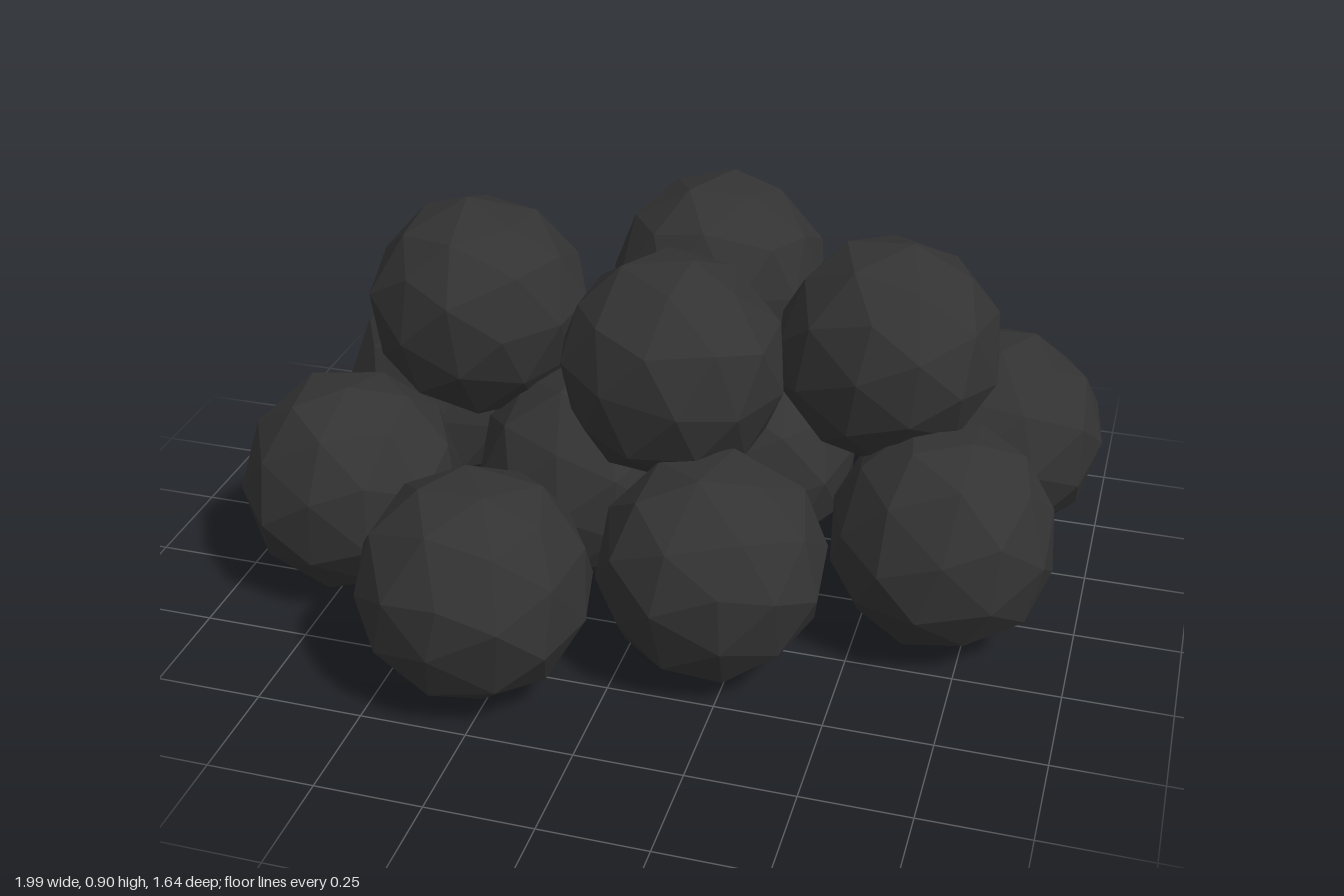
import * as THREE from 'three';
import { mergeVertices } from 'three/addons/utils/BufferGeometryUtils.js';

// Small seeded generator for the chipped, uneven surface
function seeded(seed) {
  let s = seed;
  return () => (s = (s * 16807) % 2147483647) / 2147483647;
}

// Faceted lump: a subdivided icosahedron with slightly uneven vertices
function lumpGeometry(seed) {
  const rand = seeded(seed);
  for (let i = 0; i < 5; i++) rand();
  let geo = new THREE.IcosahedronGeometry(1, 1);
  geo.deleteAttribute('normal');
  geo.deleteAttribute('uv');
  geo = mergeVertices(geo, 1e-3);
  const p = geo.attributes.position;
  const v = new THREE.Vector3();
  for (let i = 0; i < p.count; i++) {
    v.fromBufferAttribute(p, i);
    v.x += (rand() - 0.5) * 0.08;
    v.y += (rand() - 0.5) * 0.08;
    v.z += (rand() - 0.5) * 0.08;
    v.setLength(0.262 + rand() * 0.012);
    p.setXYZ(i, v.x, v.y, v.z);
  }
  geo.rotateX(rand() * 6.28);
  geo.rotateY(rand() * 6.28);
  geo.rotateZ(rand() * 6.28);
  geo.computeVertexNormals();
  return geo;
}

export function createModel() {
  const group = new THREE.Group();
  group.name = 'lumpPile';
  const material = new THREE.MeshStandardMaterial({ color: 0x333333, flatShading: true });

  // Centres [x, z] of each layer
  const layers = [
    { name: 'lowerLump', y: 0.275, spots: [
      [-0.68, -0.32], [-0.73, 0.21], [-0.29, 0.55], [0.2, 0.33], [0.68, 0.07],
      [0.73, -0.45], [-0.19, -0.56], [0.16, -0.2], [-0.2, 0],
    ] },
    { name: 'upperLump', y: 0.635, spots: [
      [-0.5, -0.09], [0.02, -0.4], [0.04, 0.09], [0.5, -0.13],
    ] },
  ];

  let seed = 11;
  for (const { name, y, spots } of layers) {
    spots.forEach(([x, z], i) => {
      const lump = new THREE.Mesh(lumpGeometry(seed += 7919), material);
      lump.name = name + (i + 1);
      lump.position.set(x, y, z);
      group.add(lump);
    });
  }
  return group;
}
